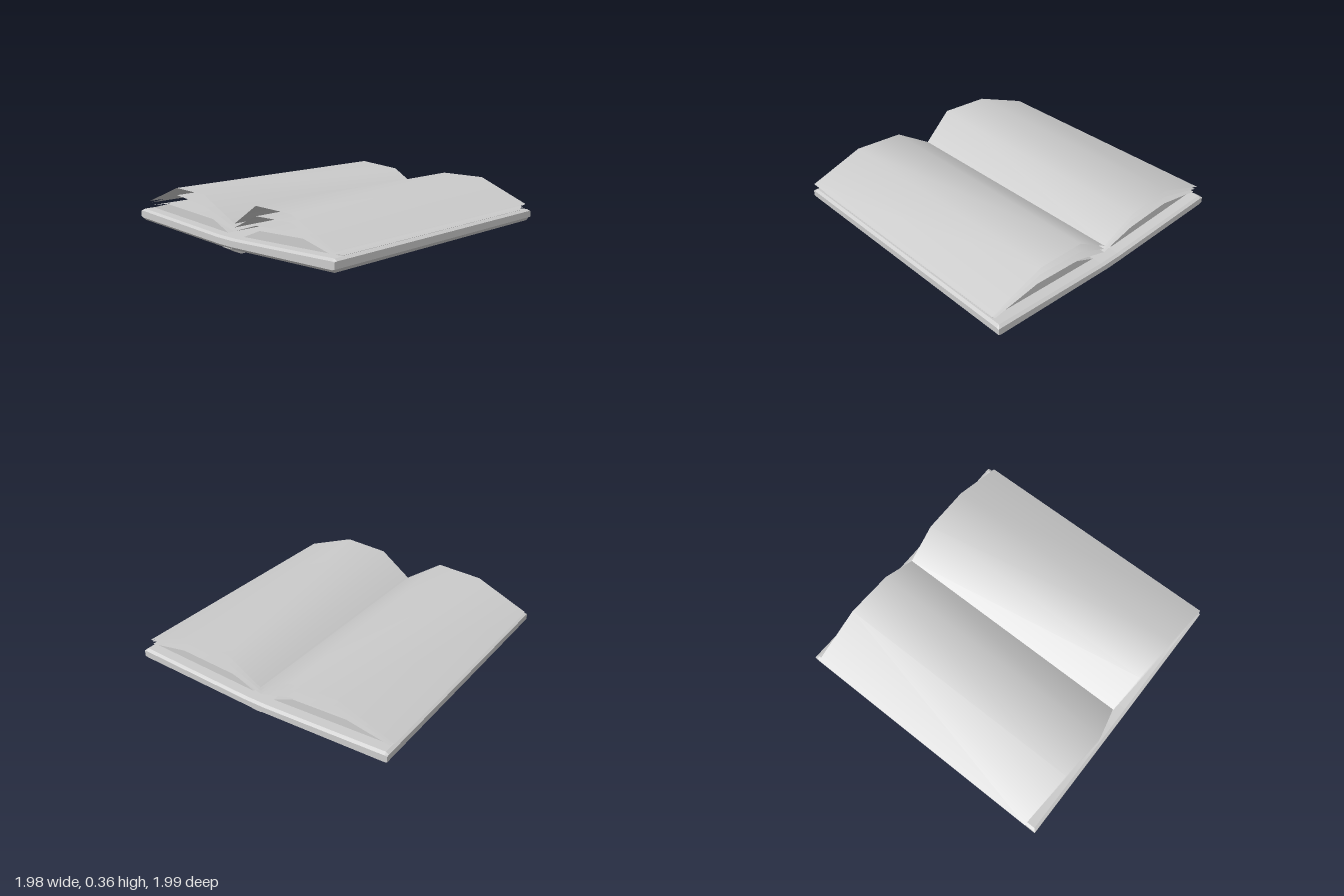
import * as THREE from 'three';

const solidMat = new THREE.MeshStandardMaterial({ color: 0xcccccc, flatShading: true });
const sheetMat = new THREE.MeshStandardMaterial({ color: 0xcccccc, side: THREE.DoubleSide });

// Solid lofted along x through sections { x, pts: [[z, y], ...] }.
// Points run +z along the top, then back along the bottom.
function loftSolid(sections) {
  const pos = [], idx = [];
  const n = sections[0].pts.length;
  for (const s of sections) for (const [z, y] of s.pts) pos.push(s.x, y, z);
  for (let s = 0; s < sections.length - 1; s++) {
    for (let i = 0; i < n; i++) {
      const a = s * n + i, b = s * n + (i + 1) % n, c = b + n, d = a + n;
      idx.push(a, b, c, a, c, d);
    }
  }
  // End caps, each triangle turned to face outwards
  for (const [s, dir] of [[0, -1], [sections.length - 1, 1]]) {
    const pts = sections[s].pts.map(([z, y]) => new THREE.Vector2(z, y));
    for (const [a, b, c] of THREE.ShapeUtils.triangulateShape(pts, [])) {
      const ab = pts[b].clone().sub(pts[a]), ac = pts[c].clone().sub(pts[a]);
      const facesMinusX = ab.cross(ac) > 0;
      const keep = facesMinusX === (dir < 0);
      idx.push(s * n + a, s * n + (keep ? b : c), s * n + (keep ? c : b));
    }
  }
  const g = new THREE.BufferGeometry();
  g.setAttribute('position', new THREE.Float32BufferAttribute(pos, 3));
  g.setIndex(idx);
  const flat = g.toNonIndexed();
  flat.computeVertexNormals();
  return flat;
}

// Thin page strip through rows [z, leftX, leftY, rightX, rightY]
function pageSheet(rows) {
  const pos = [], idx = [];
  rows.forEach(([z, x0, y0, x1, y1], i) => {
    pos.push(x0, y0, z, x1, y1, z);
    if (i) {
      const a = 2 * i - 2;
      // Upward winding depends on which way the strip runs
      if (z > rows[0][0]) idx.push(a, a + 2, a + 1, a + 1, a + 2, a + 3);
      else idx.push(a, a + 1, a + 2, a + 1, a + 3, a + 2);
    }
  });
  const g = new THREE.BufferGeometry();
  g.setAttribute('position', new THREE.Float32BufferAttribute(pos, 3));
  g.setIndex(idx);
  g.computeVertexNormals();
  return g;
}

export function createModel() {
  const book = new THREE.Group();
  book.name = 'openBook';
  const add = (name, geometry, material) => {
    const mesh = new THREE.Mesh(geometry, material);
    mesh.name = name;
    book.add(mesh);
  };

  // Cover: shallow V with chamfered rim; ends are squeezed by "cut"
  const cover = (cut) => {
    const top = [[-0.97, 0.162], [-0.08, 0.12], [0.08, 0.12], [0.97, 0.162]];
    const bottom = [[0.97, 0.08], [0.06, 0.046], [-0.06, 0.046], [-0.97, 0.08]];
    return [
      [-0.99, 0.15 - cut * 0.2], ...top.map(([z, y]) => [z, y - cut]),
      [0.99, 0.15 - cut * 0.2], [0.99, 0.105],
      ...bottom.map(([z, y]) => [z, y + cut * 1.5]), [-0.99, 0.105],
    ];
  };
  add('cover', loftSolid([
    { x: -0.99, pts: cover(0.013) }, { x: -0.97, pts: cover(0) },
    { x: 0.97, pts: cover(0) }, { x: 0.99, pts: cover(0.013) },
  ]), solidMat);

  // Spine ridge under the fold, with tapered ends
  const spine = (y) => [
    [-0.06, 0.06], [0.06, 0.06], [0.06, 0.05], [0.035, Math.min(y + 0.03, 0.049)],
    [0.035, y], [-0.035, y], [-0.035, Math.min(y + 0.03, 0.049)], [-0.06, 0.05],
  ];
  add('spine', loftSolid([
    { x: -0.975, pts: spine(0.045) }, { x: -0.89, pts: spine(0) },
    { x: 0.88, pts: spine(0.018) }, { x: 0.975, pts: spine(0.045) },
  ]), solidMat);

  // Page blocks lying on each half of the cover
  const block = [[0.07, 0.115], [0.24, 0.185], [0.78, 0.212], [0.96, 0.163], [0.96, 0.15], [0.07, 0.11]];
  const backBlock = block.map(([z, y]) => [-z, y]).reverse();
  for (const [name, pts] of [['frontPageBlock', block], ['backPageBlock', backBlock]]) {
    add(name, loftSolid([{ x: -0.9, pts }, { x: 0.9, pts }]), solidMat);
  }

  // Loose arched sheets fanning over each block: heights at four points across
  const layers = [
    { end: 0.985, y: [0.195, 0.35, 0.355, 0.205] },
    { end: 0.975, y: [0.17, 0.285, 0.305, 0.198] },
    { end: 0.965, y: [0.145, 0.225, 0.25, 0.18] },
  ];
  const leftEdge = { front: [-0.91, -0.935, -0.96, -0.98], back: [-0.91, -0.965, -0.94, -0.91] };
  const rightEdge = [0.925, 0.935, 0.935, 0.93];
  for (const [side, dir] of [['front', 1], ['back', -1]]) {
    layers.forEach(({ end, y }, k) => {
      const reach = side === 'back' && k === 0 ? 1 : end;
      const rows = [0, 0.25, 0.6, reach].map((z, i) => {
        // The uppermost back sheet is slightly twisted
        const twist = side === 'back' && k === 0 && i === 1 ? 0.02 : 0;
        return [dir * z, leftEdge[side][i], y[i] + twist * 0.4, rightEdge[i], y[i] - twist];
      });
      add(`${side}Sheet${k + 1}`, pageSheet(rows), sheetMat);
    });
  }
  return book;
}
